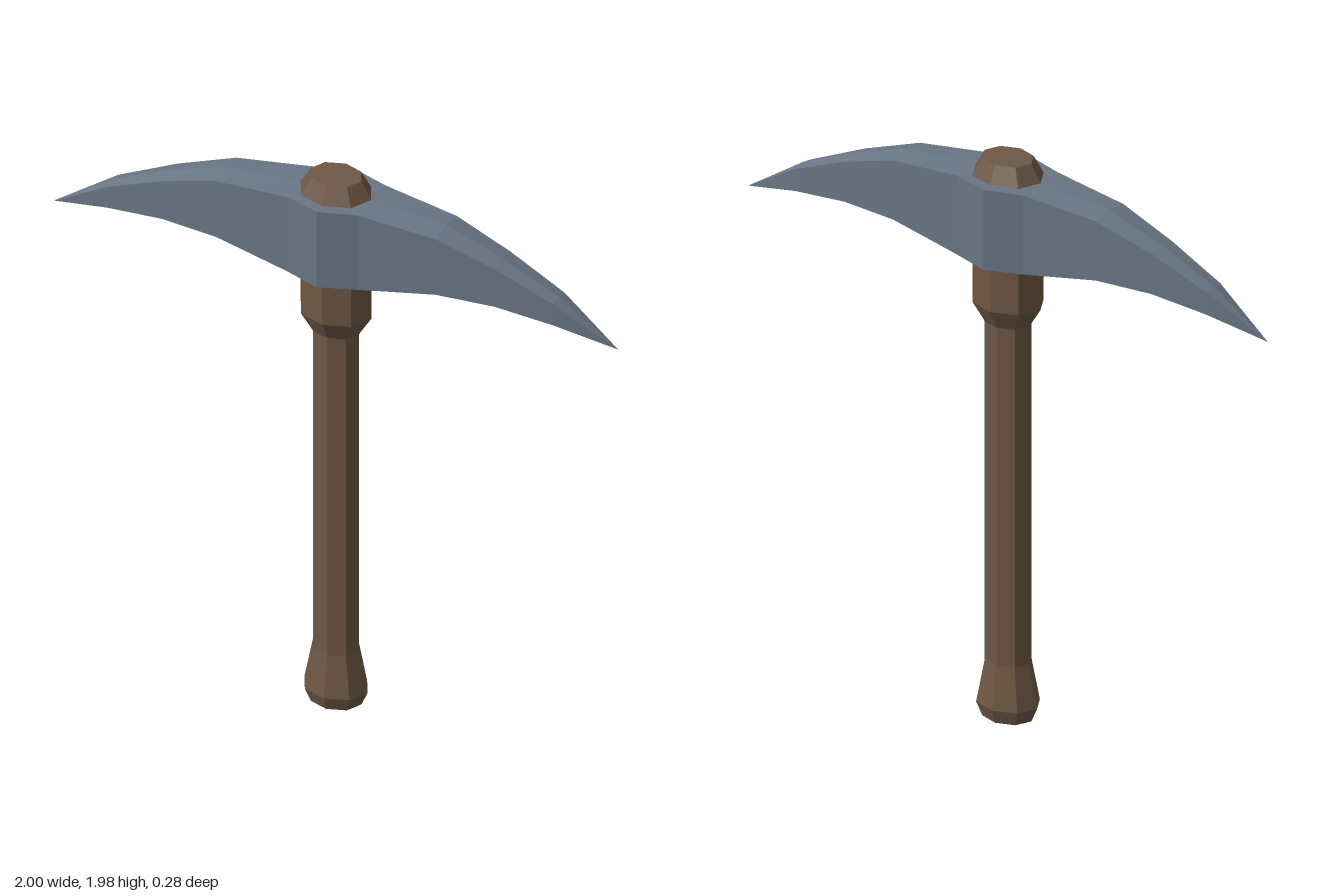
import * as THREE from 'three';

const wood = new THREE.MeshStandardMaterial({ color: 0x6e5845, flatShading: true });
const steel = new THREE.MeshStandardMaterial({ color: 0x6a7685, flatShading: true });

// Octagonal handle, flattened front to back
function makeHandle() {
  const profile = [
    [0, 0], [0.09, 0], [0.112, 0.05], [0.082, 0.2], [0.082, 1.4],
    [0.125, 1.47], [0.125, 1.92], [0.09, 1.98], [0, 1.98],
  ].map(([r, y]) => new THREE.Vector2(r, y));
  const geometry = new THREE.LatheGeometry(profile, 8);
  geometry.scale(1, 1, 0.81);
  const mesh = new THREE.Mesh(geometry.toNonIndexed(), wood);
  mesh.geometry.computeVertexNormals();
  mesh.name = 'handle';
  return mesh;
}

// Six-sided cross-sections joined from one tip to the other
function makeHead() {
  // x, half depth, top ridge, top edge, bottom edge, bottom ridge
  const half = [
    [0, 0.14, 1.92, 1.92, 1.635, 1.635],
    [0.125, 0.1, 1.92, 1.918, 1.637, 1.635],
    [0.18, 0.095, 1.917, 1.912, 1.646, 1.637],
    [0.39, 0.077, 1.9, 1.89, 1.68, 1.68],
    [0.59, 0.058, 1.832, 1.822, 1.68, 1.68],
    [0.79, 0.04, 1.742, 1.734, 1.655, 1.655],
    [1, 0, 1.6, 1.6, 1.6, 1.6],
  ];
  const mirrored = half.slice(1).reverse().map(([x, ...rest]) => [-x, ...rest]);
  const rings = [...mirrored, ...half].map(([x, d, tr, te, be, br]) => [
    [x, tr, 0], [x, te, d], [x, be, d], [x, br, 0], [x, be, -d], [x, te, -d],
  ]);
  const positions = [];
  const last = rings.length - 2;
  for (let i = 0; i <= last; i++) {
    for (let j = 0; j < 6; j++) {
      const k = (j + 1) % 6;
      const a = rings[i][j], b = rings[i][k], c = rings[i + 1][j], d = rings[i + 1][k];
      // Each tip is a single point, so it takes one triangle per side
      if (i > 0) positions.push(...a, ...b, ...c);
      if (i < last) positions.push(...b, ...d, ...c);
    }
  }
  const geometry = new THREE.BufferGeometry();
  geometry.setAttribute('position', new THREE.Float32BufferAttribute(positions, 3));
  geometry.computeVertexNormals();
  const mesh = new THREE.Mesh(geometry, steel);
  mesh.name = 'pickHead';
  return mesh;
}

export function createModel() {
  const group = new THREE.Group();
  group.name = 'pickaxe';
  group.add(makeHandle(), makeHead());
  return group;
}
